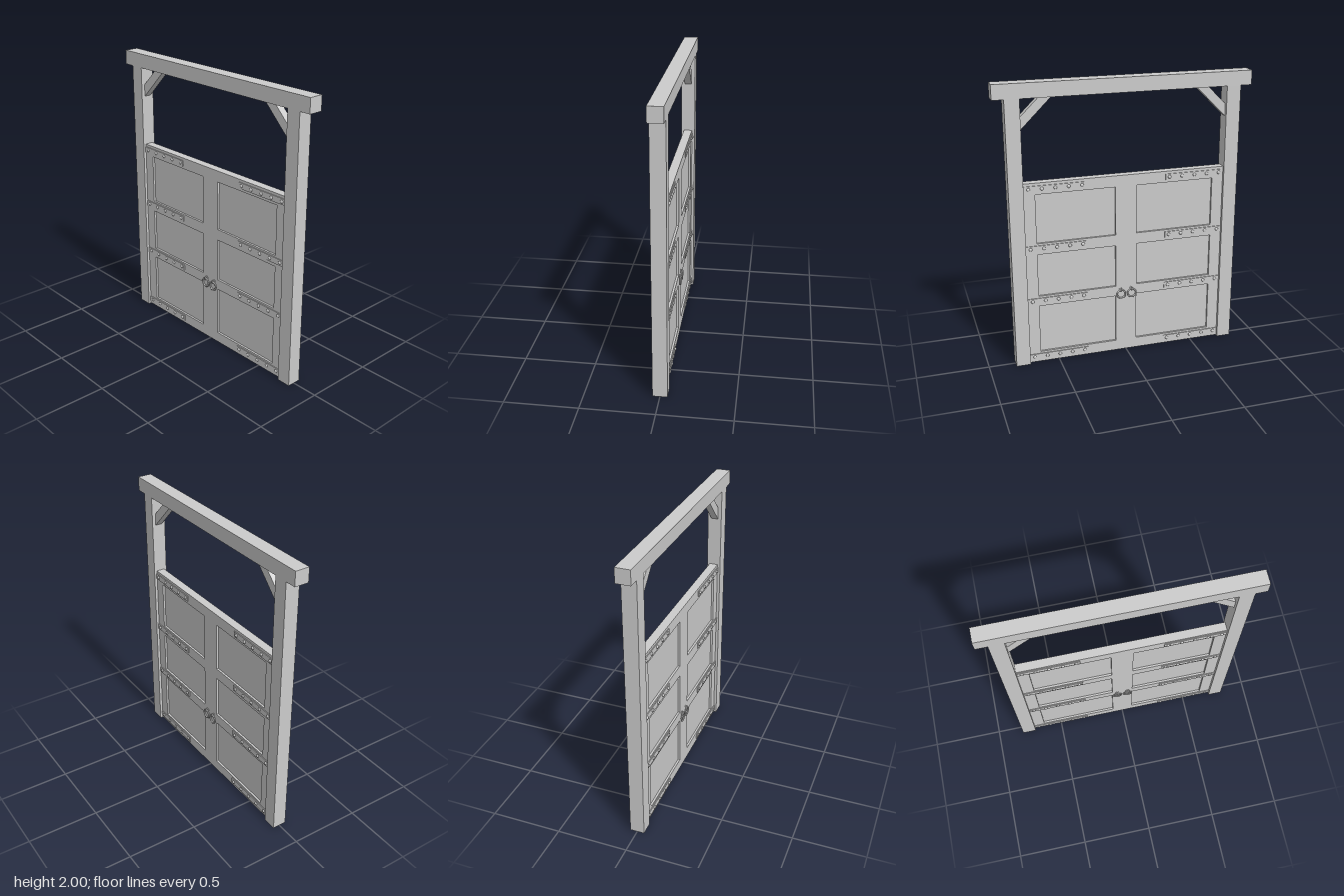
import * as THREE from 'three';

const material = new THREE.MeshStandardMaterial({ color: 0xcccccc });
const FACE = 0.03; // half thickness of the door frame

function add(parent, name, geometry, x = 0, y = 0, z = 0) {
  const mesh = new THREE.Mesh(geometry, material);
  mesh.name = name;
  mesh.position.set(x, y, z);
  parent.add(mesh);
  return mesh;
}

const box = (x0, x1, y0, y1, depth) =>
  new THREE.BoxGeometry(x1 - x0, y1 - y0, depth).translate((x0 + x1) / 2, (y0 + y1) / 2, 0);

const polygon = (points) => points.map(([x, y]) => new THREE.Vector2(x, y));

const slab = (shape, depth) =>
  new THREE.ExtrudeGeometry(shape, { depth, bevelEnabled: false }).translate(0, 0, -depth / 2);

// Iron fittings for one face of the door
function createFittings() {
  const fittings = new THREE.Group();
  const stud = new THREE.SphereGeometry(0.012, 12, 6, 0, Math.PI * 2, 0, Math.PI / 2)
    .rotateX(Math.PI / 2).scale(1, 1, 0.7);
  for (const side of [-1, 1]) {
    // Hinge straps with five studs each
    for (const y of [0.045, 0.475, 0.865, 1.29]) {
      add(fittings, 'hingeStrap', new THREE.BoxGeometry(0.425, 0.042, 0.008), side * 0.4975, y, FACE + 0.002);
      for (let i = 0; i < 5; i++) {
        add(fittings, 'stud', stud, side * (0.312 + i * 0.0915), y, FACE + 0.006);
      }
    }
    // Ring handle hanging from a small staple
    const handle = new THREE.Group();
    handle.name = 'ringHandle';
    handle.position.set(side * 0.039, 0.45, FACE);
    add(handle, 'ring', new THREE.TorusGeometry(0.03, 0.006, 8, 28), 0, 0, 0.01);
    add(handle, 'staple', new THREE.TorusGeometry(0.011, 0.004, 8, 16).rotateY(Math.PI / 2), 0, 0.032, 0.007);
    add(handle, 'staplePlate', new THREE.CylinderGeometry(0.014, 0.014, 0.004, 16).rotateX(Math.PI / 2), 0, 0.034, 0.001);
    fittings.add(handle);
  }
  return fittings;
}

export function createModel() {
  const gate = new THREE.Group();
  gate.name = 'gate';

  // Timber surround
  add(gate, 'topBeam', box(-0.89, 0.89, 1.9, 2, 0.1));
  for (const s of [-1, 1]) {
    add(gate, s > 0 ? 'leftPost' : 'rightPost', new THREE.BoxGeometry(0.1, 1.9, 0.1), s * 0.762, 0.95, 0);
    const brace = new THREE.Shape(polygon([
      [s * 0.712, 1.69], [s * 0.712, 1.775], [s * 0.585, 1.9], [s * 0.5, 1.9],
    ]));
    add(gate, 'cornerBrace', slab(brace, 0.05));
  }

  // Door frame pierced by six openings, with recessed panels behind them
  const frame = new THREE.Shape(polygon([[-0.712, 0.004], [0.712, 0.004], [0.712, 1.33], [-0.712, 1.33]]));
  for (const s of [-1, 1]) {
    for (const [y0, y1] of [[0.08, 0.435], [0.51, 0.82], [0.9, 1.25]]) {
      const x0 = s > 0 ? 0.076 : -0.632;
      const x1 = x0 + 0.556;
      frame.holes.push(new THREE.Path(polygon([[x0, y0], [x0, y1], [x1, y1], [x1, y0]])));
      add(gate, 'doorPanel', box(x0, x1, y0, y1, 0.03));
    }
  }
  add(gate, 'doorFrame', slab(frame, FACE * 2));

  // Same ironwork on both faces
  const front = createFittings();
  front.name = 'frontFittings';
  const back = createFittings();
  back.name = 'backFittings';
  back.rotation.y = Math.PI;
  gate.add(front, back);

  return gate;
}
